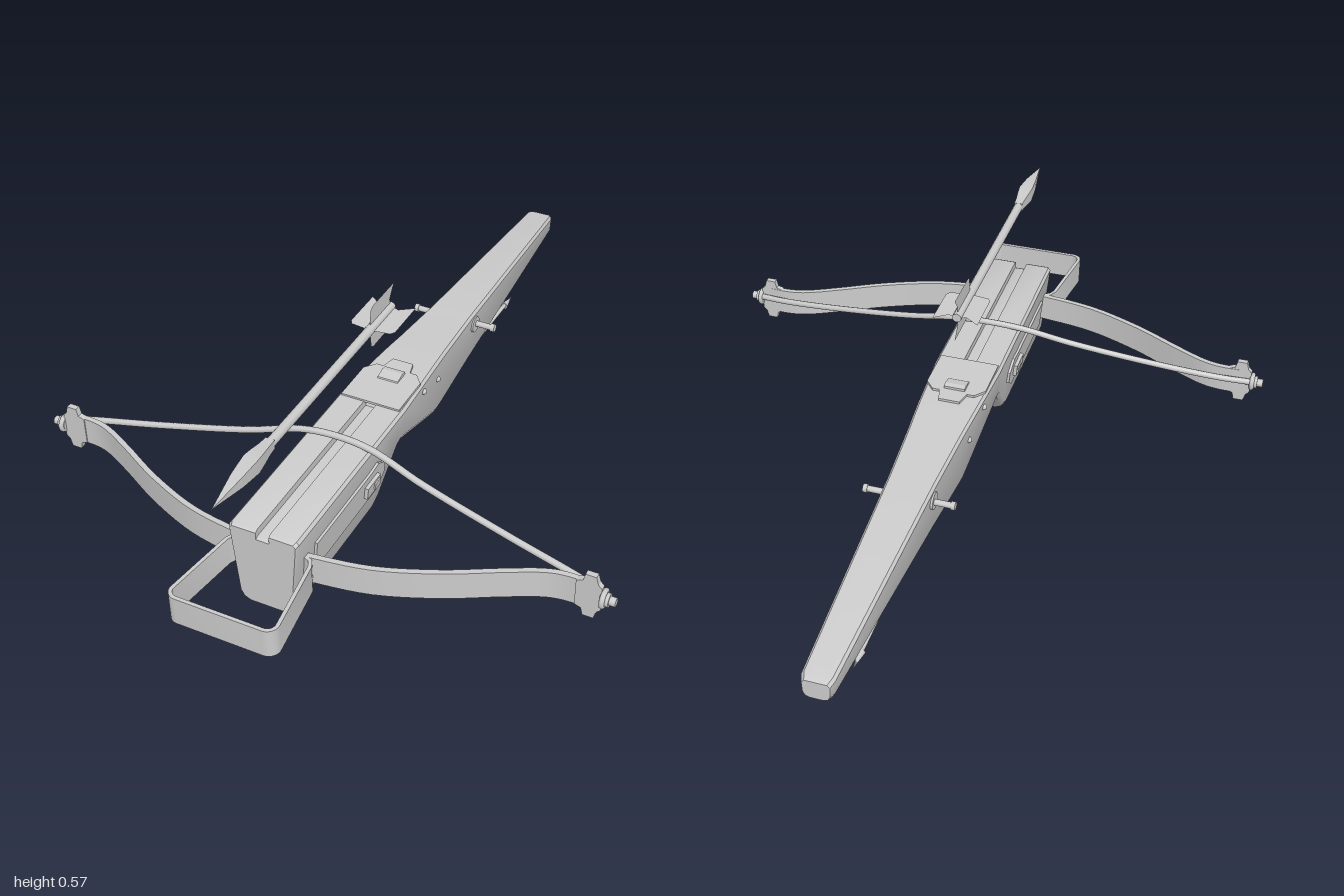
import * as THREE from 'three';
import { toCreasedNormals } from 'three/addons/utils/BufferGeometryUtils.js';

const V3 = (x, y, z) => new THREE.Vector3(x, y, z);
const V2 = (x, y) => new THREE.Vector2(x, y);

export function createModel() {
  const root = new THREE.Group();
  const mat = new THREE.MeshStandardMaterial({ color: 0xcccccc });
  const thin = new THREE.MeshStandardMaterial({ color: 0xcccccc, side: THREE.DoubleSide });

  function add(name, geo, x = 0, y = 0, z = 0, parent = root, material = mat) {
    const m = new THREE.Mesh(geo, material);
    m.name = name;
    m.position.set(x, y, z);
    parent.add(m);
    return m;
  }
  const smooth = (geo) => toCreasedNormals(geo, 0.6);
  const tube = (pts, r, n = 48) => new THREE.TubeGeometry(new THREE.CatmullRomCurve3(pts), n, r, 8);
  const shape = (pts) => new THREE.Shape(pts.map(([a, b]) => V2(a, b)));

  // Outline given as (z, y), extruded across x and centred
  function sidePlate(pts, t) {
    const g = new THREE.ExtrudeGeometry(shape(pts), { depth: t, bevelEnabled: false });
    return g.translate(0, 0, -t / 2).rotateY(-Math.PI / 2);
  }
  // Outline given as (x, z), extruded upwards
  function flatPlate(pts, t) {
    const g = new THREE.ExtrudeGeometry(shape(pts.map(([x, z]) => [x, -z])), { depth: t, bevelEnabled: false });
    return g.rotateX(-Math.PI / 2);
  }
  // Upright band of even thickness along a line of (x, z) points
  function band(line, t, height) {
    const left = [], right = [];
    line.forEach((p, i) => {
      const d = line[Math.min(i + 1, line.length - 1)].clone().sub(line[Math.max(i - 1, 0)]).normalize();
      left.push([p.x - d.y * t / 2, p.y + d.x * t / 2]);
      right.unshift([p.x + d.y * t / 2, p.y - d.x * t / 2]);
    });
    return smooth(flatPlate([...left, ...right], height));
  }

  // Stock: tapered cross-sections [z, top, bottom, half width, groove depth]
  const stations = [
    [0.785, 0.28, 0.05, 0.09, 0.02], [0.775, 0.285, 0.04, 0.095, 0.02],
    [0.36, 0.285, 0.04, 0.095, 0.02], [0.33, 0.285, 0.055, 0.095, 0.02],
    [0.235, 0.285, 0.16, 0.095, 0.02], [0.21, 0.285, 0.17, 0.095, 0.02],
    [0.2, 0.285, 0.168, 0.095, 0], [0, 0.28, 0.093, 0.084, 0],
    [-0.06, 0.277, 0.072, 0.08, 0], [-0.1, 0.274, 0.072, 0.077, 0],
    [-0.3, 0.262, 0.09, 0.066, 0], [-0.98, 0.222, 0.154, 0.042, 0],
    [-1, 0.215, 0.162, 0.035, 0],
  ];
  function section([, top, bot, w, groove]) {
    const h = top - bot, r = Math.min(0.025, h * 0.3);
    const half = (y) => w * (1 - (top - y));
    const side = [[0.018, top - groove], [0.018, top], [w - 0.007, top], [w, top - 0.008],
      [half(bot + r), bot + r], [half(bot) - r * 0.3, bot + r * 0.3], [half(bot) - r, bot]];
    return [...side, ...side.map(([x, y]) => [-x, y]).reverse()];
  }
  const rings = stations.map(section), pos = [];
  const put = (i, j) => pos.push(rings[i][j][0], rings[i][j][1], stations[i][0]);
  const n = rings[0].length;
  for (let i = 0; i < rings.length - 1; i++) {
    for (let j = 0; j < n; j++) {
      const k = (j + 1) % n;
      put(i, j); put(i + 1, j); put(i + 1, k);
      put(i, j); put(i + 1, k); put(i, k);
    }
  }
  for (const [i, front] of [[0, true], [rings.length - 1, false]]) {
    const pts = rings[i].map(([x, y]) => V2(x, y)).reverse();
    for (const [a, b, c] of THREE.ShapeUtils.triangulateShape(pts, [])) {
      const ccw = (pts[b].x - pts[a].x) * (pts[c].y - pts[a].y) - (pts[b].y - pts[a].y) * (pts[c].x - pts[a].x) > 0;
      for (const v of ccw === front ? [a, b, c] : [a, c, b]) put(i, n - 1 - v);
    }
  }
  // Orient the side walls outward
  for (let t = 0; t < (rings.length - 1) * n * 2; t++) {
    const o = t * 9;
    for (let c = 0; c < 3; c++) [pos[o + 3 + c], pos[o + 6 + c]] = [pos[o + 6 + c], pos[o + 3 + c]];
  }
  const stockGeo = new THREE.BufferGeometry();
  stockGeo.setAttribute('position', new THREE.Float32BufferAttribute(pos, 3));
  add('stock', smooth(stockGeo));

  // Lock plate on top, with the catch block
  add('lockPlate', flatPlate([[-0.085, 0.22], [0.085, 0.22], [0.085, 0.09], [0.06, 0.06], [0.04, 0.06],
    [0.03, 0.02], [-0.03, 0.02], [-0.04, 0.06], [-0.06, 0.06], [-0.085, 0.09]], 0.007), 0, 0.283, 0);
  add('catch', sidePlate([[0.125, 0.28], [0.115, 0.293], [0.085, 0.3], [0.07, 0.297], [0.07, 0.28]], 0.06));

  // Bow limbs: one curved band through the stock
  const limbHalf = [[0.1, 0.73], [0.25, 0.705], [0.4, 0.647], [0.53, 0.578], [0.62, 0.534], [0.68, 0.521], [0.75, 0.523]];
  const limbLine = [...limbHalf.map(([x, z]) => V2(-x, z)).reverse(), V2(0, 0.735), ...limbHalf.map(([x, z]) => V2(x, z))];
  add('bowLimbs', band(new THREE.SplineCurve(limbLine).getPoints(70), 0.015, 0.08), 0, 0.13, 0);

  // Foot stirrup with rounded corners
  const stirrup = [];
  const corner = (s, k) => {
    const a = (k / 6) * Math.PI / 2;
    return V2(s * (0.117 + 0.025 * Math.cos(a)), 0.967 + 0.025 * Math.sin(a));
  };
  stirrup.push(V2(-0.08, 0.735), V2(-0.105, 0.745), V2(-0.115, 0.765));
  for (let k = 0; k <= 6; k++) stirrup.push(corner(-1, k));
  for (let k = 6; k >= 0; k--) stirrup.push(corner(1, k));
  stirrup.push(V2(0.115, 0.765), V2(0.105, 0.745), V2(0.08, 0.735));
  add('stirrup', band(stirrup, 0.01, 0.08), 0, 0.13, 0);

  // Bowstring
  const stringHalf = [[0.1, 0.298, 0.407], [0.25, 0.26, 0.43], [0.5, 0.214, 0.465], [0.68, 0.188, 0.492], [0.765, 0.178, 0.51]];
  add('bowstring', tube([...stringHalf.map(([x, y, z]) => V3(-x, y, z)).reverse(), V3(0, 0.305, 0.402),
    ...stringHalf.map((p) => V3(...p))], 0.009, 80));

  for (const s of [1, -1]) {
    const side = s > 0 ? 'left' : 'right';
    // Limb tip: flared plate, nock peg and string loop
    const tip = new THREE.Group();
    tip.name = side + 'LimbTip';
    root.add(tip);
    const outline = [[0.7, 0.21], [0.717, 0.216], [0.722, 0.237], [0.75, 0.237], [0.756, 0.215], [0.766, 0.205],
      [0.766, 0.137], [0.756, 0.127], [0.75, 0.105], [0.722, 0.105], [0.717, 0.126], [0.7, 0.132]];
    add('tipPlate', new THREE.ExtrudeGeometry(shape(outline.map(([x, y]) => [s * x, y])),
      { depth: 0.016, bevelEnabled: false }), 0, 0, 0.515, tip);
    add('nockCollar', new THREE.CylinderGeometry(0.018, 0.018, 0.022, 12).rotateZ(Math.PI / 2), s * 0.774, 0.171, 0.523, tip);
    add('nockPeg', new THREE.CylinderGeometry(0.012, 0.012, 0.02, 12).rotateZ(Math.PI / 2), s * 0.791, 0.171, 0.523, tip);
    add('stringLoop', new THREE.TorusGeometry(0.02, 0.007, 8, 20).rotateY(Math.PI / 2), s * 0.77, 0.172, 0.523, tip);

    // Side panel, following the slope of the stock
    const panel = new THREE.Group();
    panel.name = side + 'SidePanel';
    panel.position.set(s * 0.084, 0.175, 0);
    panel.rotation.z = -s * 0.095;
    root.add(panel);
    add('panelPlate', sidePlate([[0.69, -0.045], [0.69, 0.04], [0.4, 0.04], [0.36, 0.045],
      [0.32, 0.02], [0.32, -0.015], [0.36, -0.045]], 0.016), 0, 0, 0, panel);
    add('panelBlock', new THREE.BoxGeometry(0.024, 0.035, 0.07), s * 0.006, 0, 0.4, panel);
    add('panelBolt', new THREE.BoxGeometry(0.032, 0.02, 0.03), s * 0.006, 0, 0.385, panel);

    // Crosswise peg and rivets
    add(side + 'PegWasher', new THREE.CylinderGeometry(0.024, 0.024, 0.01, 16).rotateZ(Math.PI / 2), s * 0.064, 0.222, -0.32);
    add(side + 'Peg', new THREE.CylinderGeometry(0.009, 0.009, 0.07, 10).rotateZ(Math.PI / 2), s * 0.088, 0.222, -0.325);
    add(side + 'PegEnd', new THREE.CylinderGeometry(0.012, 0.012, 0.012, 10).rotateZ(Math.PI / 2), s * 0.12, 0.222, -0.325);
    for (const [x, y, z] of [[0.076, 0.215, -0.04], [0.086, 0.25, 0.07]]) {
      add(side + 'Rivet', new THREE.SphereGeometry(0.009, 10, 6), s * x, y, z);
    }
  }

  // Long trigger lever with a pointed end
  add('triggerLever', tube([[0.1, -0.215], [0.07, -0.222], [0.03, -0.24], [0.012, -0.265], [0.011, -0.3], [0.024, -0.36],
    [0.036, -0.43], [0.036, -0.55], [0.032, -0.72]].map(([y, z]) => V3(0, y, z)), 0.0065));
  add('triggerTip', new THREE.ConeGeometry(0.011, 0.06, 8).rotateX(-Math.PI / 2), 0, 0.03, -0.74);

  // Bolt hovering above the stock
  const bolt = new THREE.Group();
  bolt.name = 'bolt';
  bolt.position.y = 0.515;
  root.add(bolt);
  add('shaft', new THREE.CylinderGeometry(0.013, 0.013, 0.66, 10).rotateX(Math.PI / 2), 0, 0, 0.42, bolt);
  const profile = [[0, 0.72], [0.017, 0.72], [0.019, 0.745], [0.024, 0.775], [0.028, 0.805], [0.021, 0.87], [0, 0.98]];
  const head = new THREE.LatheGeometry(profile.map(([r, z]) => V2(r, z)), 4, Math.PI / 4).rotateX(Math.PI / 2);
  add('boltHead', toCreasedNormals(head, 0.5), 0, 0, 0, bolt);
  const fin = new THREE.ShapeGeometry(shape([[0.215, 0], [0.208, 0.055], [0.195, 0.063], [0.073, 0.063], [0.1, 0.025], [0.09, 0]]));
  fin.rotateY(-Math.PI / 2);
  for (let i = 0; i < 4; i++) add('fletching', fin, 0, 0, 0, bolt, thin).rotation.z = i * Math.PI / 2;

  return root;
}
